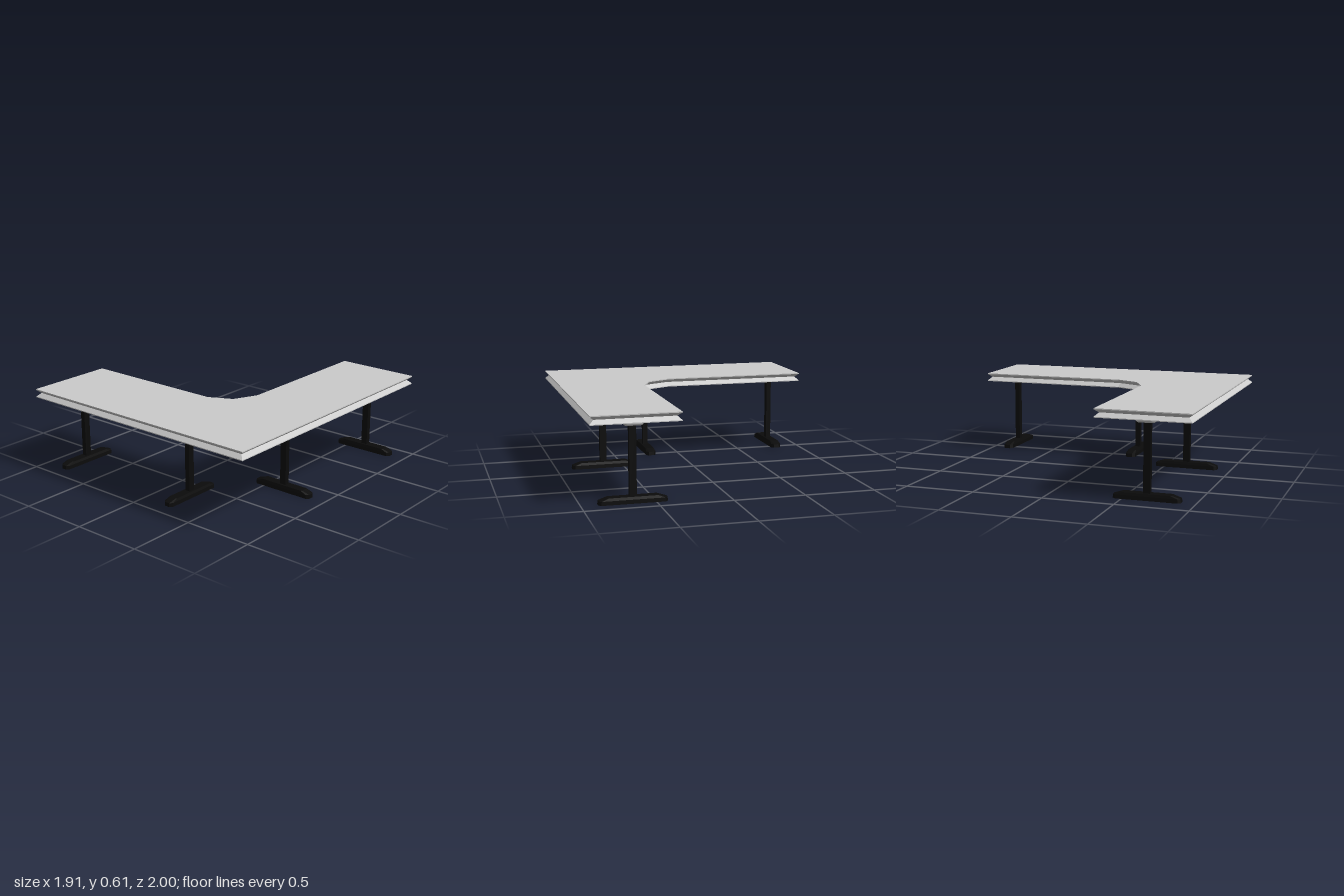
import * as THREE from 'three';
import { toCreasedNormals } from 'three/addons/utils/BufferGeometryUtils.js';

const grey = new THREE.MeshStandardMaterial({ color: 0xcccccc });
const black = new THREE.MeshStandardMaterial({ color: 0x0b0b0b });

// Solid through stacked rings [y, points]; points are (x, -z), counterclockwise from above
function loft(rings, crease = 0.6) {
  const pos = [];
  const put = (p, y) => pos.push(p.x, y, -p.y);
  for (let k = 0; k < rings.length - 1; k++) {
    const [ya, a] = rings[k], [yb, b] = rings[k + 1];
    for (let i = 0; i < a.length; i++) {
      const j = (i + 1) % a.length;
      put(a[i], ya); put(a[j], ya); put(b[j], yb);
      put(a[i], ya); put(b[j], yb); put(b[i], yb);
    }
  }
  const cap = ([y, pts], up) => {
    for (const [a, b, c] of THREE.ShapeUtils.triangulateShape(pts, [])) {
      for (const i of up ? [a, b, c] : [a, c, b]) put(pts[i], y);
    }
  };
  cap(rings[0], false);
  cap(rings[rings.length - 1], true);
  const geo = new THREE.BufferGeometry();
  geo.setAttribute('position', new THREE.Float32BufferAttribute(pos, 3));
  return toCreasedNormals(geo, crease);
}

// Rectangle outline with rounded corners (steps = 1 gives a chamfer)
function rect(hx, hz, r, steps) {
  const pts = [];
  [[1, 1], [-1, 1], [-1, -1], [1, -1]].forEach(([sx, sz], q) => {
    for (let i = 0; i <= steps; i++) {
      const t = (q + i / steps) * Math.PI / 2;
      pts.push(new THREE.Vector2(sx * (hx - r) + r * Math.cos(t), sz * (hz - r) + r * Math.sin(t)));
    }
  });
  return pts;
}

// Outline moved inward by d with mitred corners
function inset(pts, d) {
  const n = pts.length;
  return pts.map((p, i) => {
    const e1 = p.clone().sub(pts[(i + n - 1) % n]).normalize();
    const e2 = pts[(i + 1) % n].clone().sub(p).normalize();
    const n1 = new THREE.Vector2(-e1.y, e1.x), n2 = new THREE.Vector2(-e2.y, e2.x);
    const m = n1.clone().add(n2).multiplyScalar(d / (1 + n1.dot(n2)));
    return p.clone().add(m);
  });
}

function mesh(name, geo, mat) {
  const m = new THREE.Mesh(geo, mat);
  m.name = name;
  return m;
}

// Rail along x carrying two T-shaped legs
function legFrame(name) {
  const g = new THREE.Group();
  g.name = name;

  const rings = [];
  const round = 0.022;
  for (let i = 0; i <= 5; i++) {
    const t = i / 5 * Math.PI / 2;
    const d = round * (1 - Math.sin(t));
    rings.push([0.52 + round * (1 - Math.cos(t)), rect(0.587 - d, 0.07 - d, 0.03 - d, 5)]);
  }
  rings.push([0.552, rect(0.587, 0.07, 0.03, 5)]);
  g.add(mesh('rail', loft(rings, 0.7), grey));

  for (const s of [-1, 1]) {
    const leg = new THREE.Group();
    leg.name = s < 0 ? 'legA' : 'legB';
    leg.position.x = s * 0.515;
    const post = mesh('post', new THREE.BoxGeometry(0.036, 0.485, 0.048), black);
    post.position.y = 0.2825;
    const foot = mesh('foot', loft([
      [0, rect(0.038, 0.232, 0.018, 1)],
      [0.027, rect(0.037, 0.23, 0.018, 1)],
      [0.045, rect(0.032, 0.172, 0.008, 1)],
    ], 0.1), black);
    leg.add(post, foot);
    g.add(leg);
  }
  return g;
}

export function createModel() {
  const model = new THREE.Group();
  model.name = 'cornerTable';

  // L-shaped top with a V groove around its edge
  const outline = [
    [-0.953, 1], [0.953, 1], [0.953, -1], [0.35, -1],
    [0.35, 0.09], [0.272, 0.262], [0.105, 0.345], [-0.953, 0.345],
  ].map(([x, z]) => new THREE.Vector2(x, -z));
  model.add(mesh('tableTop', loft([
    [0.55, outline],
    [0.556, outline],
    [0.582, inset(outline, 0.028)],
    [0.605, outline],
    [0.612, outline],
  ], 0.1), grey));

  // Front wing and side wing supports
  const front = legFrame('frontSupport');
  front.position.set(-0.295, 0, 0.669);
  const side = legFrame('sideSupport');
  side.rotation.y = Math.PI / 2;
  side.position.set(0.654, 0, -0.353);
  model.add(front, side);
  return model;
}
